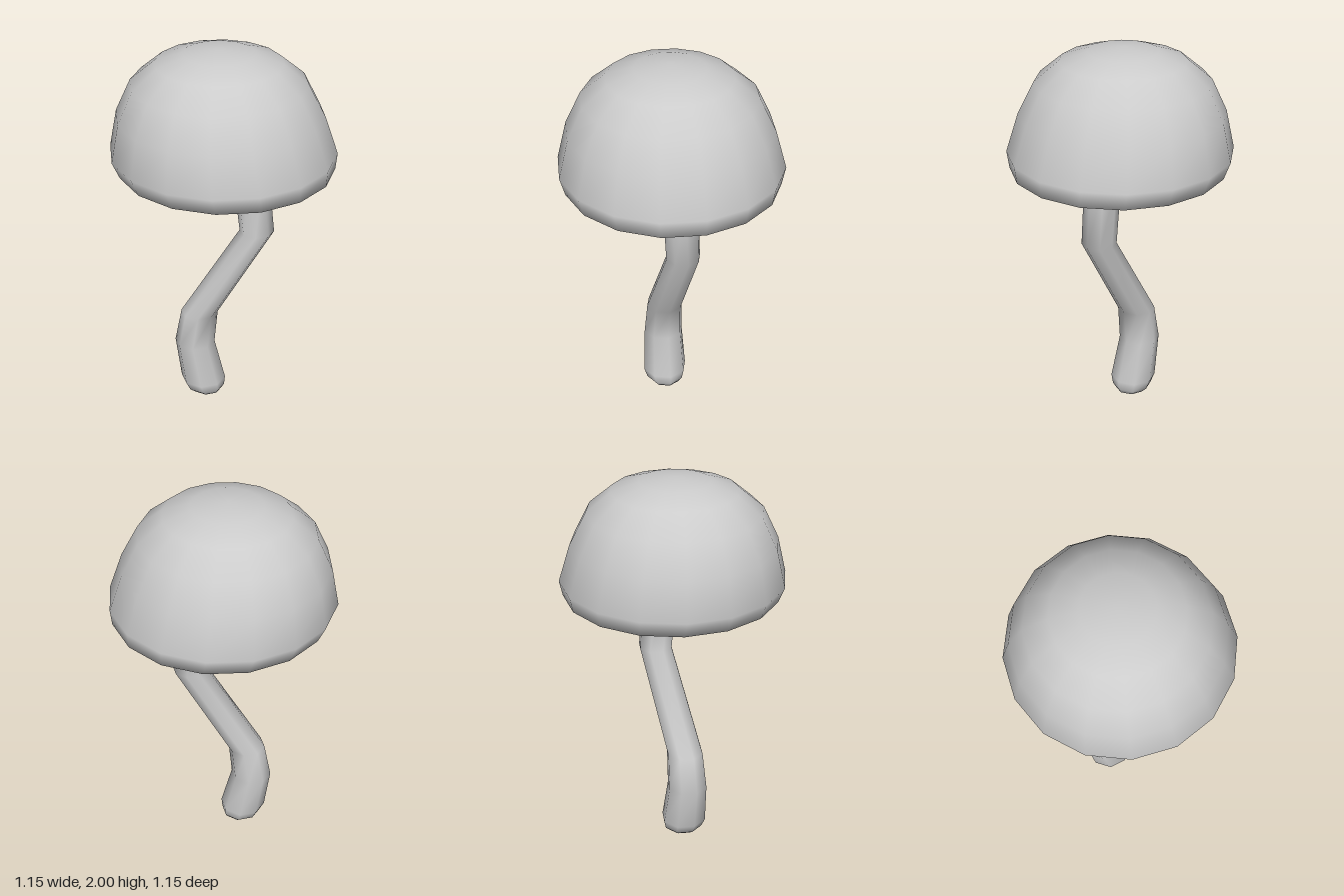
import * as THREE from 'three';
import { mergeVertices } from 'three/addons/utils/BufferGeometryUtils.js';

// Skins a stack of horizontal rings, each given as [x, y, z, radius], bottom to top
function loft(rings, sides) {
  const pos = [], index = [];
  for (const [x, y, z, r] of rings) {
    for (let i = 0; i < sides; i++) {
      const a = (i / sides) * Math.PI * 2;
      pos.push(x + r * Math.sin(a), y, z + r * Math.cos(a));
    }
  }
  for (let k = 0; k < rings.length - 1; k++) {
    for (let i = 0; i < sides; i++) {
      const j = (i + 1) % sides;
      const a = k * sides + i, b = k * sides + j;
      const c = a + sides, d = b + sides;
      if (rings[k][3] > 0) index.push(a, b, d);
      if (rings[k + 1][3] > 0) index.push(a, d, c);
    }
  }
  const geo = new THREE.BufferGeometry();
  geo.setAttribute('position', new THREE.Float32BufferAttribute(pos, 3));
  geo.setIndex(index);
  const merged = mergeVertices(geo, 1e-4);
  merged.computeVertexNormals();
  return merged;
}

export function createModel() {
  const group = new THREE.Group();
  group.name = 'mushroom';
  const material = new THREE.MeshStandardMaterial({ color: 0xcccccc, roughness: 0.8 });

  const add = (name, rings, sides) => {
    const mesh = new THREE.Mesh(loft(rings, sides), material);
    mesh.name = name;
    group.add(mesh);
  };

  // Crooked stem: rounded foot, two bends, flared where it meets the cap
  add('stem', [
    [-0.09, 0, 0.005, 0],
    [-0.09, 0.005, 0.005, 0.08],
    [-0.1, 0.03, 0.005, 0.105],
    [-0.11, 0.08, 0.005, 0.12],
    [-0.155, 0.31, 0, 0.107],
    [-0.128, 0.5, 0, 0.098],
    [0.175, 1.0, -0.01, 0.09],
    [0.138, 1.35, -0.005, 0.094],
    [0.02, 1.58, 0, 0.1],
    [0, 1.66, 0, 0.15],
  ], 8);

  // Hollow cap: ceiling down to the rim, then up the outside to the crown
  add('cap', [
    [0, 1.62, 0, 0],
    [0, 1.62, 0, 0.14],
    [0, 1.63, 0, 0.24],
    [0, 1.56, 0, 0.4],
    [0.01, 1.45, 0, 0.49],
    [0.015, 1.39, 0, 0.51],
    [0.015, 1.38, 0, 0.553],
    [0, 1.465, 0, 0.577],
    [-0.015, 1.66, 0, 0.525],
    [-0.02, 1.825, 0, 0.445],
    [-0.02, 1.93, 0, 0.32],
    [-0.02, 1.977, 0, 0.18],
    [-0.025, 2.0, 0, 0],
  ], 16);

  return group;
}
